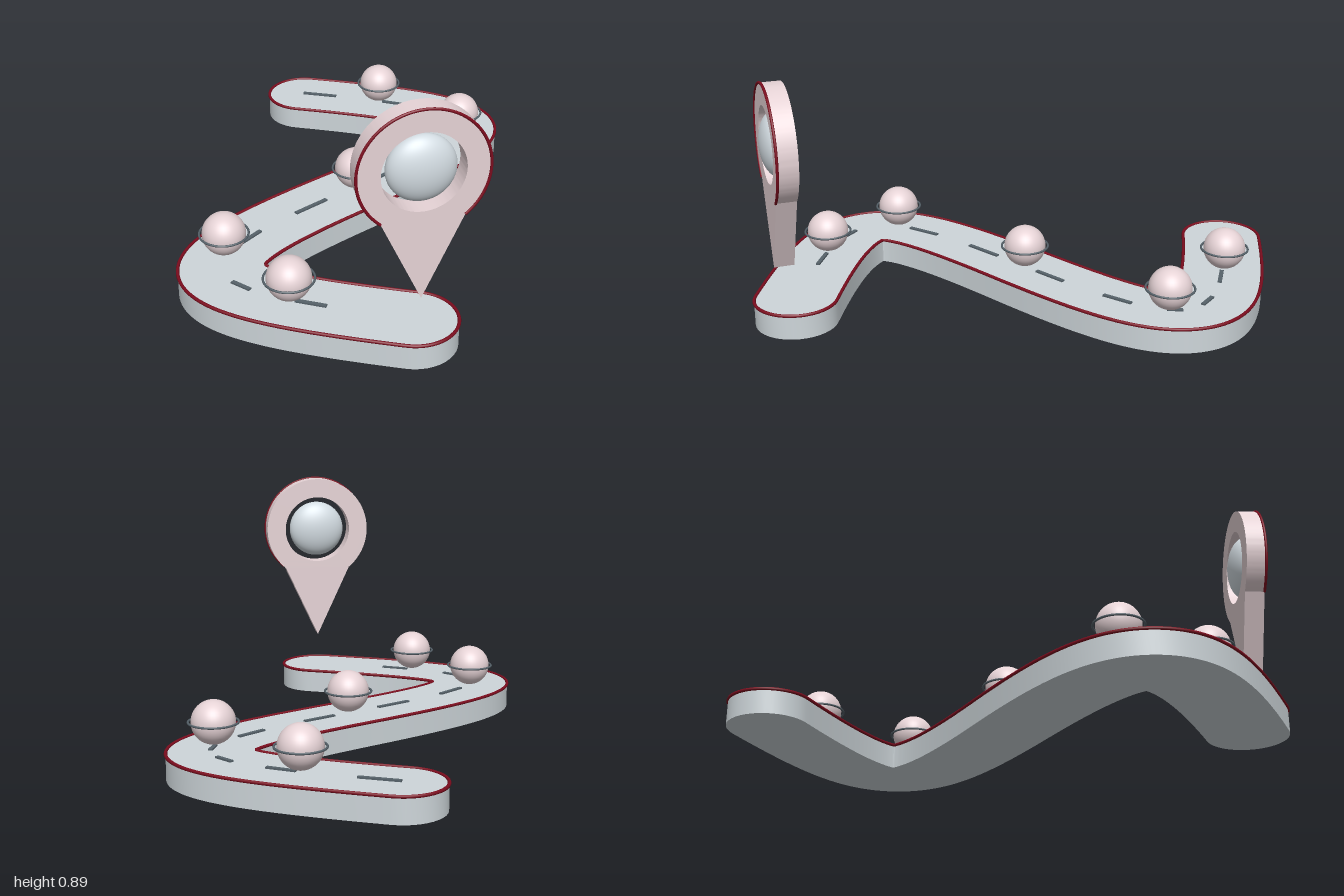
import * as THREE from 'three';
import { toCreasedNormals } from 'three/addons/utils/BufferGeometryUtils.js';

const material = (color) => new THREE.MeshStandardMaterial({ color });
const pink = material(0xe6d3d6), red = material(0x7d0c1e), slate = material(0x56626a);
const pale = material(0xd3dce2), roadGrey = material(0xced6da);

const HALF = 0.148, TOP = 0.09, END = 0.847;

// S-shaped centre line, in plan (x, z): two mirrored lobes, t from 0 to 2
const v2 = (x, z) => new THREE.Vector2(x, z);
const lobes = [
  new THREE.CubicBezierCurve(v2(0, -END), v2(0.75, -0.49), v2(0.75, -0.36), v2(0, 0)),
  new THREE.CubicBezierCurve(v2(0, 0), v2(-0.75, 0.36), v2(-0.75, 0.49), v2(0, END)),
];
const lobeAt = (t) => (t < 1 ? [lobes[0], t] : [lobes[1], t - 1]);
const pointAt = (t) => { const [c, u] = lobeAt(t); return c.getPoint(u); };
const tangentAt = (t) => { const [c, u] = lobeAt(t); return c.getTangent(u); };

// Outline of the road: both offset sides and two round ends
function roadOutline() {
  const steps = 160, centre = [];
  for (let i = 0; i <= steps; i++) centre.push(pointAt((2 * i) / steps));
  const side = (sign) => {
    const pts = [];
    for (let i = 0; i <= steps; i++) {
      const d = tangentAt((2 * i) / steps);
      const p = v2(centre[i].x - sign * d.y * HALF, centre[i].y + sign * d.x * HALF);
      // drop points that fold over on the inside of a bend
      if (centre.every((c) => c.distanceTo(p) > HALF - 0.0006)) pts.push(p);
    }
    return pts;
  };
  const cap = (t, from) => {
    const c = pointAt(t), d = tangentAt(t), a = Math.atan2(d.y, d.x) + from, pts = [];
    for (let i = 1; i < 20; i++) {
      const b = a - (Math.PI * i) / 20;
      pts.push(v2(c.x + HALF * Math.cos(b), c.y + HALF * Math.sin(b)));
    }
    return pts;
  };
  return [...side(1), ...cap(2, Math.PI / 2), ...side(-1).reverse(), ...cap(0, -Math.PI / 2)];
}

function add(parent, name, geometry, mat, x = 0, y = 0, z = 0) {
  const mesh = new THREE.Mesh(geometry, mat);
  mesh.name = name;
  mesh.position.set(x, y, z);
  parent.add(mesh);
  return mesh;
}

function buildRoad(parent) {
  const road = new THREE.Group();
  road.name = 'road';
  parent.add(road);

  const outline = roadOutline();
  const shape = new THREE.Shape(outline.map((p) => v2(p.x, -p.y)));
  const slab = new THREE.ExtrudeGeometry(shape, { depth: TOP, bevelEnabled: false });
  slab.rotateX(-Math.PI / 2);
  add(road, 'roadSlab', toCreasedNormals(slab, 0.6), roadGrey);

  // Red edge trim
  const edge = new THREE.CatmullRomCurve3(outline.map((p) => new THREE.Vector3(p.x, TOP, p.y)), true);
  add(road, 'roadTrim', new THREE.TubeGeometry(edge, 500, 0.006, 8, true), red);

  // Centre line dashes, as ranges along the centre line
  const dashes = [[0, 0.061], [0.165, 0.23], [0.335, 0.415], [0.53, 0.6], [0.724, 0.804], [0.904, 0.964],
    [1.05, 1.12], [1.22, 1.32], [1.605, 1.683], [1.805, 1.867]];
  for (const [from, to] of dashes) {
    const a = pointAt(from), b = pointAt(to);
    const dash = add(road, 'laneDash', new THREE.BoxGeometry(a.distanceTo(b), 0.008, 0.015), slate,
      (a.x + b.x) / 2, TOP + 0.002, (a.y + b.y) / 2);
    dash.rotation.y = -Math.atan2(b.y - a.y, b.x - a.x);
  }
}

// Ball with a thin ring round its middle
function buildMilestone(parent, x, z) {
  const stop = new THREE.Group();
  stop.name = 'milestone';
  stop.position.set(x, 0.177, z);
  add(stop, 'milestoneBall', new THREE.SphereGeometry(0.077, 40, 24), pink);
  add(stop, 'milestoneRing', new THREE.TorusGeometry(0.086, 0.004, 8, 48), slate).rotation.x = Math.PI / 2;
  parent.add(stop);
}

// Map pin floating over the front end of the road
function buildPin(parent) {
  const pin = new THREE.Group();
  pin.name = 'mapPin';
  pin.position.set(0, 0.673, 0.882);
  parent.add(pin);

  const radius = 0.213, depth = 0.072, start = -0.885, sweep = Math.PI - 2 * start;
  const shape = new THREE.Shape();
  shape.moveTo(0, -0.454);
  shape.lineTo(radius * Math.cos(start), radius * Math.sin(start));
  shape.absarc(0, 0, radius, start, start + sweep, false);
  shape.closePath();
  const hole = new THREE.Path();
  hole.absarc(0, 0, 0.136, 0, Math.PI * 2, true);
  shape.holes.push(hole);
  const body = new THREE.ExtrudeGeometry(shape, { depth, bevelEnabled: false, curveSegments: 64 });
  body.translate(0, 0, -depth / 2);
  add(pin, 'pinBody', toCreasedNormals(body, 0.4), pink);

  const rim = add(pin, 'pinTrim', new THREE.TorusGeometry(radius, 0.005, 8, 80, sweep), red, 0, 0, depth / 2);
  rim.rotation.z = start;
  add(pin, 'pinLens', new THREE.SphereGeometry(0.114, 48, 32), pale).scale.z = 0.51;
}

export function createModel() {
  const model = new THREE.Group();
  model.name = 'roadmap';
  buildRoad(model);
  const stops = [[0.296, -0.7], [0.545, -0.357], [0.021, -0.012], [-0.534, 0.325], [-0.37, 0.648]];
  for (const [x, z] of stops) buildMilestone(model, x, z);
  buildPin(model);
  return model;
}
